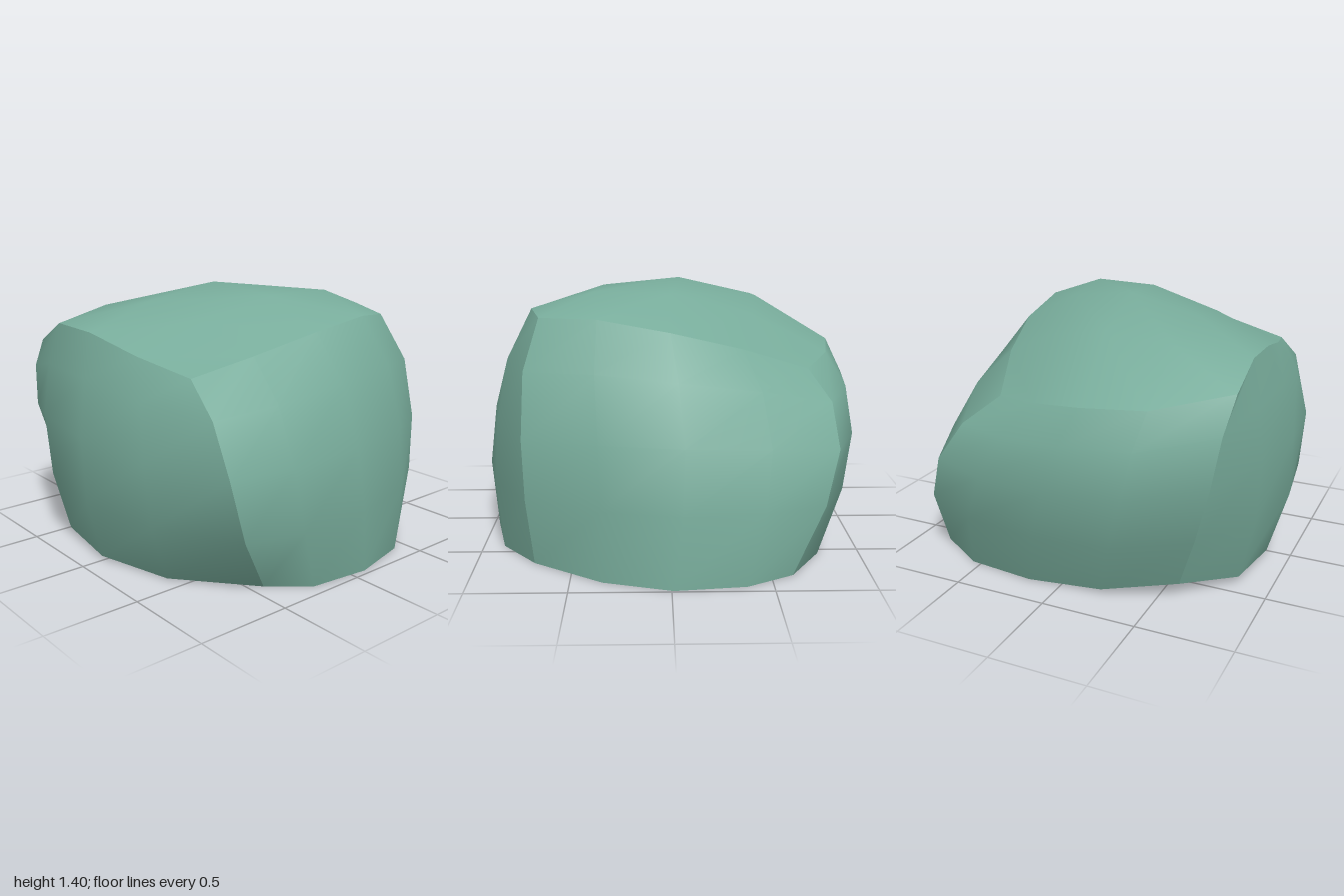
import * as THREE from 'three';

const pts = (...a) => a.map(p => new THREE.Vector3(...p));

// Four corner ridges, bottom to top
const FL = pts([-0.67, 0.08, 0.60], [-0.77, 0.38, 0.71], [-0.80, 0.68, 0.79], [-0.74, 0.92, 0.82], [-0.60, 1.09, 0.84]);
const FR = pts([0.77, 0, 0.43], [0.92, 0.35, 0.68], [0.92, 0.67, 0.77], [0.80, 0.92, 0.77], [0.59, 1.07, 0.73]);
const BR = pts([0.70, 0, -0.65], [0.73, 0.36, -0.71], [0.74, 0.67, -0.70], [0.73, 1.0, -0.62], [0.66, 1.25, -0.49]);
const BL = pts([-0.61, 0, -0.82], [-0.77, 0.35, -0.79], [-0.85, 0.61, -0.68], [-0.83, 0.82, -0.53], [-0.73, 0.96, -0.36]);

// A rim runs between two ridges at their foot (0) or crown (4)
const rim = (a, b, i, ...mid) => [a[i], ...pts(...mid), b[i]];
const bottom = {
  front: rim(FL, FR, 0, [-0.41, 0.04, 0.83], [-0.02, 0.015, 0.87], [0.40, 0.005, 0.75]),
  left: rim(FR, BR, 0, [0.93, 0, 0.24], [0.97, 0, -0.09], [0.89, 0, -0.42]),
  back: rim(BR, BL, 0, [0.34, 0, -0.89], [-0.01, 0, -0.99], [-0.37, 0, -0.95]),
  right: rim(BL, FL, 0, [-0.78, 0, -0.55], [-0.82, 0, -0.18], [-0.79, 0.02, 0.22]),
};
const crown = {
  front: rim(FL, FR, 4, [-0.39, 1.21, 0.85], [-0.10, 1.20, 0.84], [0.25, 1.13, 0.80]),
  left: rim(FR, BR, 4, [0.65, 1.14, 0.40], [0.70, 1.22, 0.03], [0.72, 1.27, -0.28]),
  back: rim(BR, BL, 4, [0.36, 1.26, -0.63], [0, 1.19, -0.61], [-0.37, 1.09, -0.51]),
  right: rim(BL, FL, 4, [-0.87, 1.0, -0.10], [-0.92, 1.03, 0.18], [-0.86, 1.04, 0.50]),
};

// Smooth patch stretched between four border curves, with an extra swell in the middle
function patch(low, high, left, right, swell) {
  const n = 4, position = [], index = [];
  const mix = (a, b, t) => a.clone().lerp(b, t);
  for (let j = 0; j <= n; j++) {
    for (let i = 0; i <= n; i++) {
      const u = i / n, v = j / n;
      const p = mix(low[i], high[i], v)
        .add(mix(left[j], right[j], u))
        .sub(mix(mix(low[0], low[n], u), mix(high[0], high[n], u), v))
        .addScaledVector(swell, Math.sin(Math.PI * u) * Math.sin(Math.PI * v));
      position.push(p.x, p.y, p.z);
      if (i < n && j < n) {
        const a = j * (n + 1) + i, c = a + n + 1;
        index.push(a, a + 1, c + 1, a, c + 1, c);
      }
    }
  }
  const g = new THREE.BufferGeometry();
  g.setAttribute('position', new THREE.Float32BufferAttribute(position, 3));
  g.setIndex(index);
  g.computeVertexNormals();
  return g;
}

export function createModel() {
  const stone = new THREE.MeshStandardMaterial({ color: 0x78ac9b, side: THREE.DoubleSide });
  stone.name = 'greenStone';
  const group = new THREE.Group();
  group.name = 'boulder';
  const add = (name, geometry) => {
    const mesh = new THREE.Mesh(geometry, stone);
    mesh.name = name;
    group.add(mesh);
  };

  // Four bulging walls, open underneath
  const walls = [
    ['front', FL, FR, [0.02, -0.03, -0.01]],
    ['left', FR, BR, [-0.01, -0.02, 0]],
    ['back', BR, BL, [0, 0, 0]],
    ['right', BL, FL, [0.03, -0.02, 0.03]],
  ];
  for (const [side, a, b, swell] of walls) {
    add(side + 'Wall', patch(bottom[side], crown[side], a, b, new THREE.Vector3(...swell)));
  }

  // Domed top
  add('top', patch(crown.front, [...crown.back].reverse(), [...crown.right].reverse(), crown.left,
    new THREE.Vector3(0.08, 0.17, 0.03)));
  return group;
}
